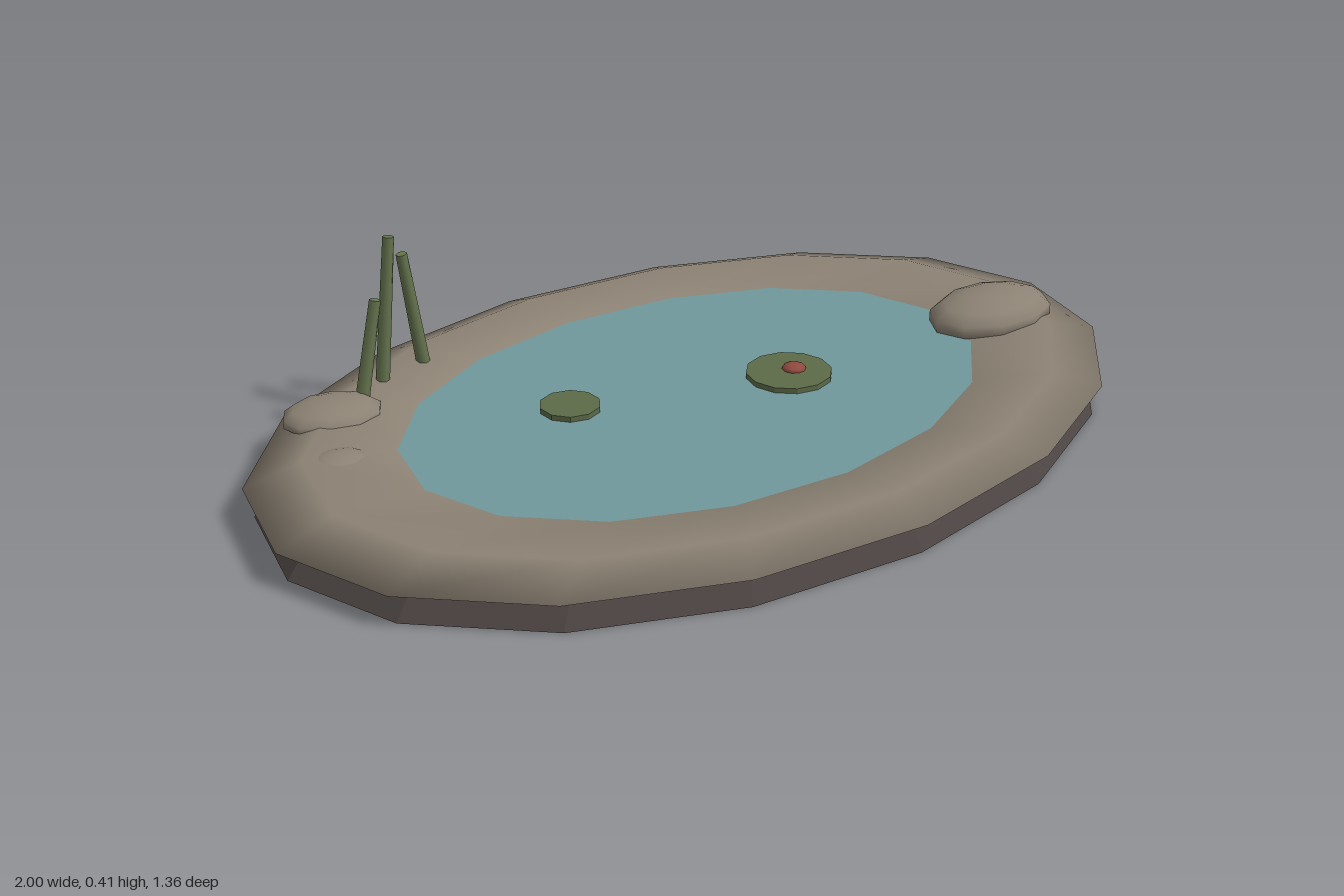
import * as THREE from 'three';

const DEPTH = 0.68; // the pond outline is an ellipse: depth relative to width
const SIDES = 16;

const paint = (color, flatShading = false) => new THREE.MeshStandardMaterial({ color, flatShading });
const bankMat = paint(0x8c8274);
const earthMat = paint(0x4d4543, true);
const waterMat = paint(0x6f989c);
const reedMat = paint(0x66754f);
const padMat = paint(0x5c6b48, true);
const flowerMat = paint(0x8f4a40);

export function createModel() {
  const pond = new THREE.Group();
  pond.name = 'pond';

  const add = (name, geometry, material, x = 0, y = 0, z = 0) => {
    const mesh = new THREE.Mesh(geometry, material);
    mesh.name = name;
    mesh.position.set(x, y, z);
    pond.add(mesh);
    return mesh;
  };

  // Earth base, flaring towards the ground
  add('base', new THREE.CylinderGeometry(0.929, 0.98, 0.06, SIDES), earthMat, 0, 0.03, 0)
    .scale.z = DEPTH;

  // Bank: a flattened five-sided ring
  const ring = new THREE.TorusGeometry(0.82, 0.18, 5, SIDES);
  ring.rotateX(-Math.PI / 2);
  ring.scale(1, 0.205, DEPTH);
  add('bank', ring, bankMat, 0, 0.065, 0);

  // Water surface just inside the bank
  const water = new THREE.CircleGeometry(0.675, SIDES);
  water.rotateX(-Math.PI / 2);
  water.scale(1, 1, DEPTH);
  add('water', water, waterMat, 0, 0.0865, 0);

  // Rocks lying on the bank: position, radii, turn
  const rocks = [
    [0.747, 0.1, 0.112, 0.155, 0.055, 0.107, -0.1],
    [-0.645, 0.09, -0.385, 0.107, 0.035, 0.083, -0.2],
    [-0.74, 0.082, -0.208, 0.065, 0.021, 0.052, 0],
  ];
  rocks.forEach(([x, y, z, rx, ry, rz, turn], i) => {
    const rock = add(`rock${i + 1}`, new THREE.SphereGeometry(1, 10, 7), bankMat, x, y, z);
    rock.scale.set(rx, ry, rz);
    rock.rotation.y = turn;
  });

  // Leaning reeds: foot x, tip x, tip height, z
  const reeds = [
    [-0.567, -0.52, 0.305, -0.4],
    [-0.485, -0.45, 0.41, -0.45],
    [-0.362, -0.403, 0.35, -0.48],
  ];
  reeds.forEach(([footX, tipX, tipY, z], i) => {
    const footY = 0.08;
    const length = Math.hypot(tipX - footX, tipY - footY);
    const reed = add(`reed${i + 1}`, new THREE.CylinderGeometry(0.012, 0.015, length, 6), reedMat,
      (footX + tipX) / 2, (footY + tipY) / 2, z);
    reed.rotation.z = -Math.atan2(tipX - footX, tipY - footY);
  });

  // Floating pads
  add('largePad', new THREE.CylinderGeometry(0.092, 0.092, 0.018, 12), padMat, 0.202, 0.089, 0.055);
  add('smallPad', new THREE.CylinderGeometry(0.064, 0.064, 0.018, 10), padMat, -0.25, 0.089, -0.108);

  // Flower bud on the large pad
  add('flower', new THREE.SphereGeometry(0.026, 10, 6), flowerMat, 0.216, 0.099, 0.055)
    .scale.y = 0.45;

  return pond;
}
